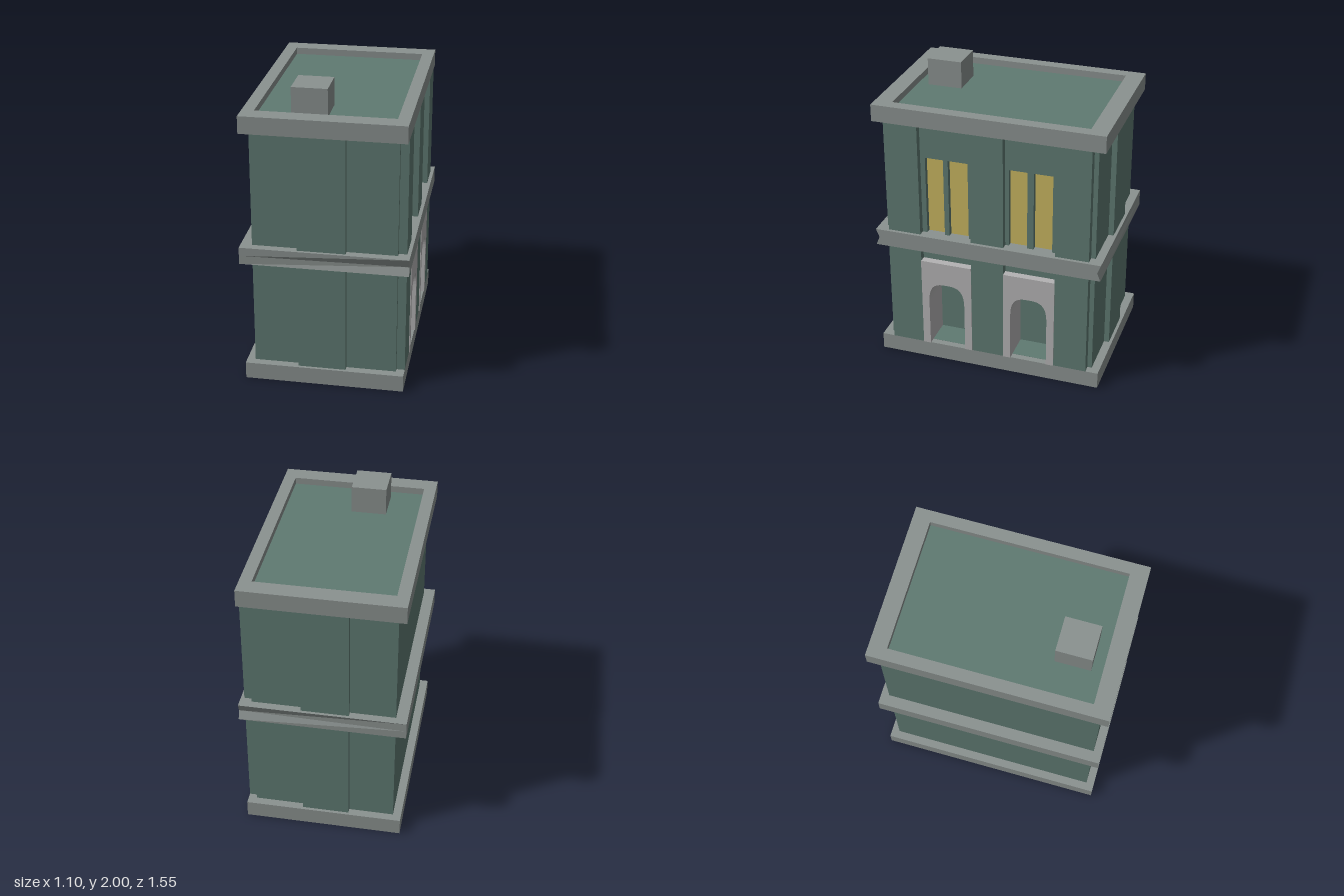
import * as THREE from 'three';

export function createModel() {
  const model = new THREE.Group();
  const mat = (name, color) => {
    const m = new THREE.MeshStandardMaterial({ color });
    m.name = name;
    return m;
  };
  const green = mat('green wall', 0x5f7a72);
  const grey = mat('grey trim', 0x8b9290);
  const pale = mat('pale stone', 0xb4b3b4);
  const yellow = mat('yellow glass', 0xc9b660);

  const add = (name, geometry, material) => {
    const mesh = new THREE.Mesh(geometry, material);
    mesh.name = name;
    model.add(mesh);
    return mesh;
  };
  // Box given by its limits on each axis
  const box = (name, material, x0, x1, y0, y1, z0, z1) => {
    const g = new THREE.BoxGeometry(x1 - x0, y1 - y0, z1 - z0);
    g.translate((x0 + x1) / 2, (y0 + y1) / 2, (z0 + z1) / 2);
    return add(name, g, material);
  };
  const rect = (a, b, c, d, Type = THREE.Shape) =>
    new Type([[a, c], [b, c], [b, d], [a, d]].map(p => new THREE.Vector2(...p)));
  // Extrude a side-on shape (-z, y) between two x positions
  const extrudeX = (name, material, shape, x0, x1) => {
    const g = new THREE.ExtrudeGeometry(shape, { depth: x1 - x0, bevelEnabled: false, curveSegments: 10 });
    g.rotateY(Math.PI / 2);
    g.translate(x0, 0, 0);
    return add(name, g, material);
  };

  const BASE = 0.115, BAND0 = 0.85, BAND1 = 0.965, TOP0 = 1.745, TOP1 = 1.86;
  const BAY = 0.289, HALF = 0.177; // bay centre and half width
  const WALL = 0.48, FACE = 0.525, NICHE = 0.3;

  // Base slab
  box('baseSlab', grey, -0.53, 0.525, 0, BASE, -0.775, 0.775);

  // Middle band, its end faces pinched towards the facade
  const band = new THREE.BoxGeometry(1.098, BAND1 - BAND0, 1.55, 1, 2, 1);
  const p = band.attributes.position;
  for (let i = 0; i < p.count; i++) {
    if (p.getX(i) > 0 && Math.abs(p.getY(i)) < 0.01) p.setZ(i, Math.sign(p.getZ(i)) * 0.752);
  }
  const bandFlat = band.toNonIndexed();
  bandFlat.computeVertexNormals();
  bandFlat.translate(-0.001, (BAND0 + BAND1) / 2, 0);
  add('middleBand', bandFlat, grey);

  // Wall cores of both storeys
  box('lowerCore', green, -0.475, NICHE, BASE, BAND0, -0.69, 0.69);
  box('upperCore', green, -0.475, 0.44, BAND1, TOP0, -0.69, 0.69);

  // Facade walls with door and window openings
  const lower = rect(-0.69, 0.69, BASE, BAND0);
  const upper = rect(-0.69, 0.69, BAND1 - 0.02, TOP0);
  const panes = [[-0.432, -0.308], [-0.275, -0.14], [0.138, 0.262], [0.305, 0.432]];
  for (const s of [-1, 1]) {
    lower.holes.push(rect(s * BAY - 0.16, s * BAY + 0.16, BASE + 0.001, 0.75, THREE.Path));
  }
  for (const [a, b] of panes) {
    upper.holes.push(rect(a, b, BAND1 - 0.01, 1.515, THREE.Path));
    box('windowPane', yellow, 0.438, 0.446, BAND1, 1.52, -b - 0.004, -a + 0.004);
  }
  extrudeX('lowerFacade', green, lower, NICHE, WALL);
  extrudeX('upperFacade', green, upper, 0.44, WALL);

  // Arched stone doorways lining deep niches
  for (const s of [-1, 1]) {
    const c = s * BAY, w = 0.126;
    const arch = new THREE.Shape();
    arch.moveTo(c - HALF, BASE);
    arch.lineTo(c - w, BASE);
    arch.lineTo(c - w, 0.45);
    arch.bezierCurveTo(c - w, 0.55, c - 0.1, 0.595, c - 0.03, 0.6);
    arch.lineTo(c + 0.03, 0.6);
    arch.bezierCurveTo(c + 0.1, 0.595, c + w, 0.55, c + w, 0.45);
    arch.lineTo(c + w, BASE);
    arch.lineTo(c + HALF, BASE);
    arch.lineTo(c + HALF, 0.765);
    arch.lineTo(c - HALF, 0.765);
    extrudeX('archedDoorway', pale, arch, NICHE, 0.53);
  }

  // Pilasters and stepped end panels on both storeys
  for (const [y0, y1] of [[BASE, BAND0], [BAND1, TOP0]]) {
    for (const [z0, z1] of [[-0.69, -0.465], [-0.113, 0.113], [0.465, 0.69]]) {
      box('pilaster', green, WALL, FACE, y0, y1, z0, z1);
    }
    for (const s of [-1, 1]) {
      const panel = (name, x0, x1, a, b) =>
        box(name, green, x0, x1, y0, y1, Math.min(s * a, s * b), Math.max(s * a, s * b));
      panel('endPanel', -0.475, 0.47, 0.69, 0.72);
      panel('endCentrePanel', -0.175, 0.14, 0.72, 0.755);
    }
  }

  // Parapet ring, sunken roof and chimney
  const ring = rect(-0.775, 0.775, -0.53, 0.525);
  ring.holes.push(rect(-0.657, 0.657, -0.45, 0.445, THREE.Path));
  const parapet = new THREE.ExtrudeGeometry(ring, { depth: TOP1 - TOP0, bevelEnabled: false });
  parapet.rotateZ(Math.PI / 2);
  parapet.rotateX(-Math.PI / 2);
  parapet.scale(-1, 1, -1);
  parapet.translate(0, TOP0, 0);
  add('parapet', parapet, grey);
  box('roof', green, -0.46, 0.455, TOP0 + 0.005, 1.815, -0.667, 0.667);
  box('chimney', grey, -0.232, 0, 1.8, 2, 0.35, 0.585);

  return model;
}
